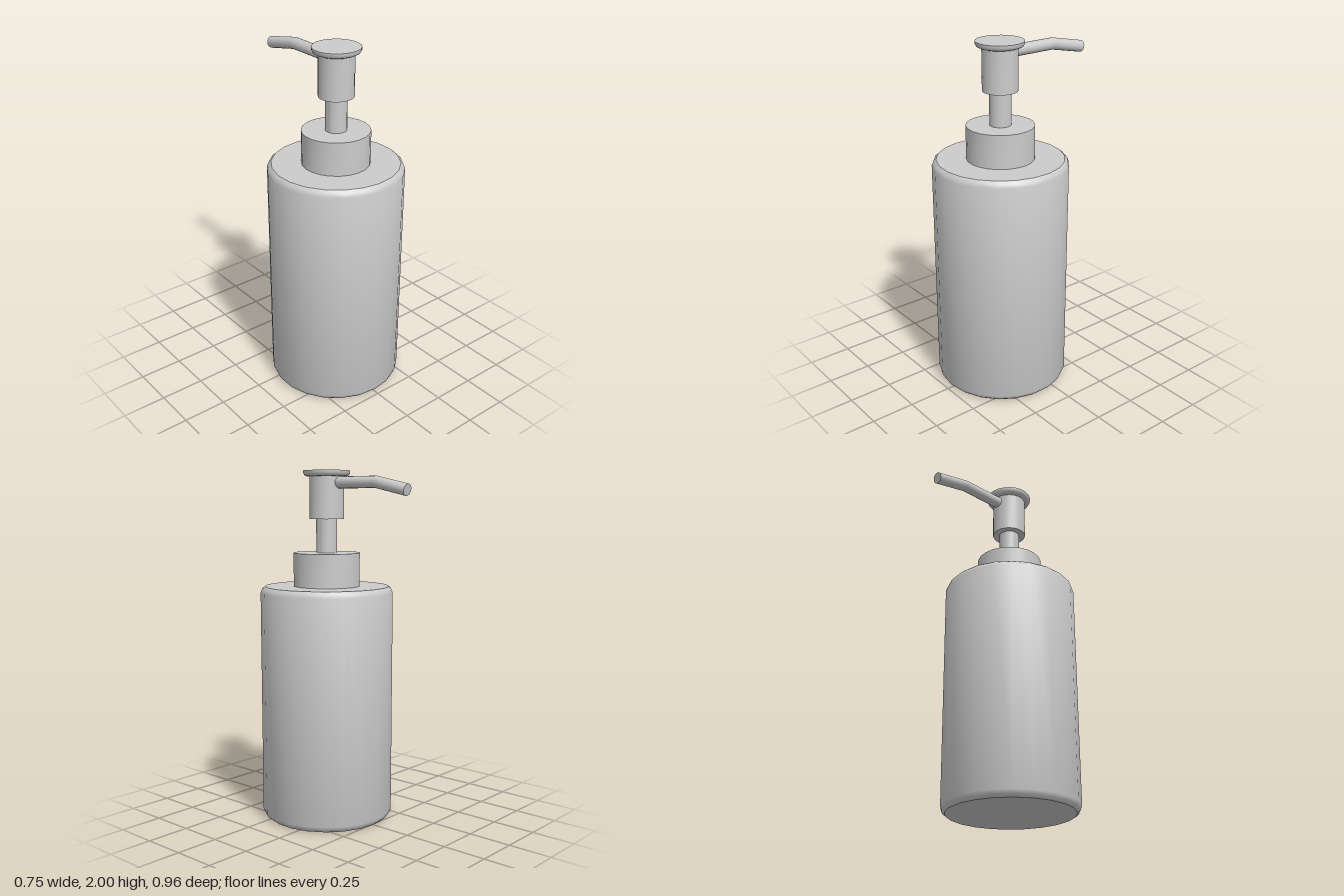
import * as THREE from 'three';
import { toCreasedNormals } from 'three/addons/utils/BufferGeometryUtils.js';

const AXIS_Z = 0.1; // the bottle stands forward so the spout fits behind it
const CREASE = 0.65;

export function createModel() {
  const group = new THREE.Group();
  const material = new THREE.MeshStandardMaterial({ color: 0xcccccc });

  const add = (name, geometry, z = 0) => {
    const mesh = new THREE.Mesh(toCreasedNormals(geometry, CREASE), material);
    mesh.name = name;
    mesh.position.z = z;
    group.add(mesh);
  };

  // Turned part from [radius, height] pairs, bottom to top
  const turned = (name, profile) =>
    add(name, new THREE.LatheGeometry(profile.map(([r, y]) => new THREE.Vector2(r, y)), 22), AXIS_Z);

  // Plain closed cylinder between two heights
  const rod = (name, r, y0, y1) =>
    add(name, new THREE.CylinderGeometry(r, r, y1 - y0, 22).translate(0, (y0 + y1) / 2, 0), AXIS_Z);

  // Bottle with softened rims
  turned('bottle', [
    [0, 0], [0.356, 0], [0.372, 0.014], [0.38, 0.035],
    [0.38, 1.315], [0.372, 1.336], [0.356, 1.35], [0, 1.35],
  ]);

  rod('collar', 0.19, 1.34, 1.54);
  rod('pumpStem', 0.06, 1.53, 1.75);
  rod('pumpHead', 0.098, 1.73, 1.98);

  // Press cap, rounded underneath
  turned('pressCap', [
    [0, 1.968], [0.115, 1.968], [0.126, 1.974], [0.133, 1.987], [0.133, 2], [0, 2],
  ]);

  // Spout: a cylinder whose three rings follow a bent path
  const rings = [
    { z: 0.03, y: 1.932, tilt: 0 },
    { z: -0.26, y: 1.932, tilt: 0.105 },
    { z: -0.472, y: 1.888, tilt: 0.21 },
  ];
  const spout = new THREE.CylinderGeometry(0.033, 0.033, 2, 16, 2);
  const pos = spout.attributes.position;
  for (let i = 0; i < pos.count; i++) {
    const { z, y, tilt } = rings[Math.round(pos.getY(i)) + 1];
    const h = pos.getZ(i);
    pos.setXYZ(i, pos.getX(i), y + h * Math.cos(tilt), z - h * Math.sin(tilt));
  }
  add('spout', spout);

  return group;
}
